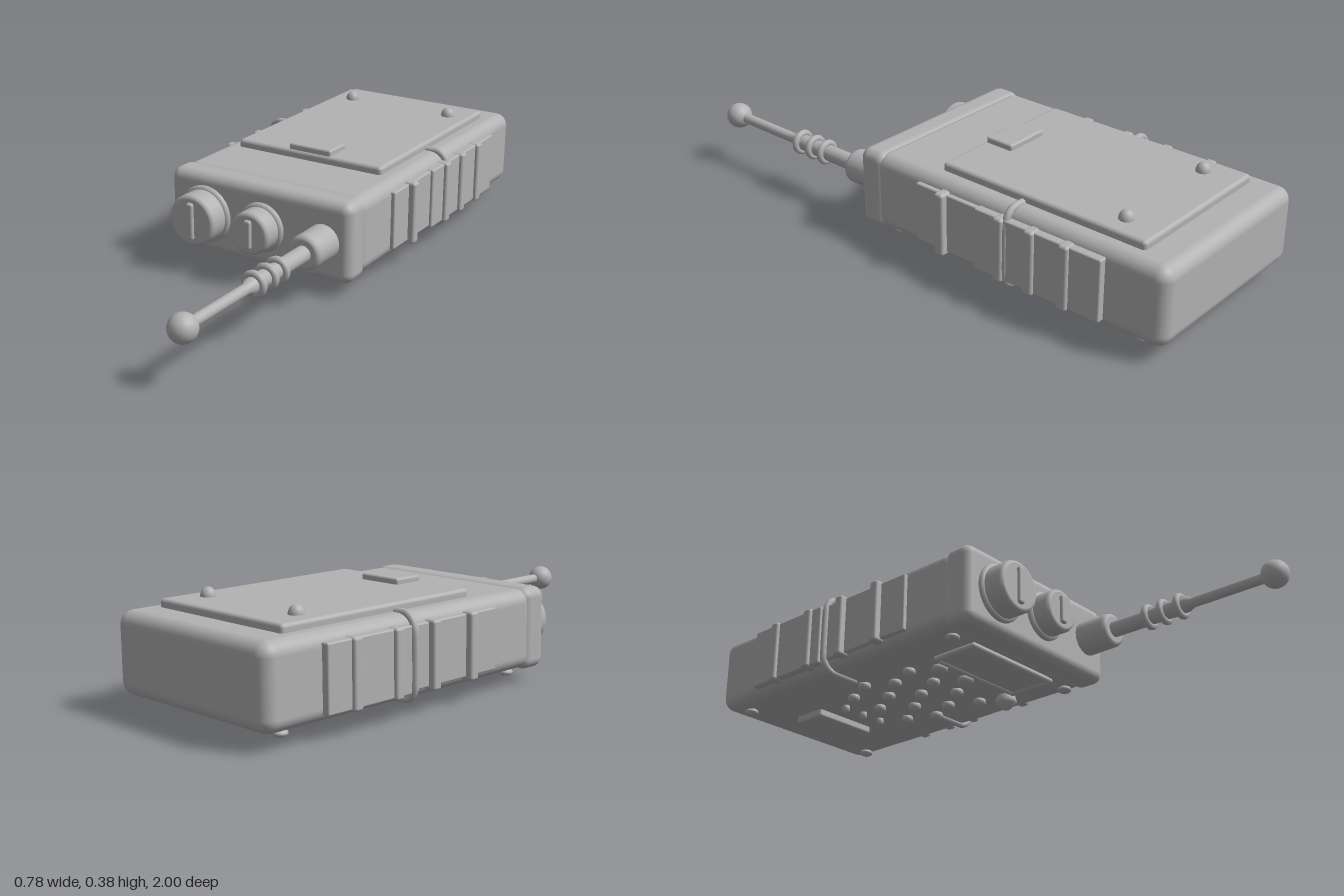
import * as THREE from 'three';
import { RoundedBoxGeometry } from 'three/addons/geometries/RoundedBoxGeometry.js';

export function createModel() {
  const root = new THREE.Group();
  root.name = 'handheldRadio';
  const grey = new THREE.MeshStandardMaterial({ color: 0xb2b2b2 });
  grey.name = 'plainGrey';

  const add = (name, geometry, x = 0, y = 0, z = 0) => {
    const mesh = new THREE.Mesh(geometry, grey);
    mesh.name = name;
    mesh.position.set(x, y, z);
    root.add(mesh);
    return mesh;
  };
  // rounded block given by its extents
  const block = (name, x0, x1, y0, y1, z0, z1, r) =>
    add(name, new RoundedBoxGeometry(x1 - x0, y1 - y0, z1 - z0, 4, r),
      (x0 + x1) / 2, (y0 + y1) / 2, (z0 + z1) / 2);
  // turned part along +z from [radius, z] pairs; each pair is doubled for a crisp edge
  const turned = (name, x, y, z, profile) => {
    const pts = profile.map(([r, h]) => new THREE.Vector2(r, h));
    return add(name, new THREE.LatheGeometry(pts, 40).rotateX(Math.PI / 2), x, y, z);
  };
  const dome = (name, x, y, z, rx, ry, rz = rx) =>
    add(name, new THREE.SphereGeometry(1, 20, 14).scale(rx, ry, rz), x, y, z);

  // Case and front collar
  block('body', -0.36, 0.345, 0.051, 0.318, -1, 0.15, 0.045);
  block('collar', -0.362, 0.347, 0.045, 0.321, 0.105, 0.215, 0.035);

  // Battery cover, latch and two studs on top
  block('cover', -0.295, 0.279, 0.3, 0.345, -0.88, -0.1, 0.013);
  block('latch', -0.089, 0.077, 0.33, 0.365, -0.215, -0.108, 0.008);
  for (const x of [-0.213, 0.198]) {
    dome('coverStud', x, 0.345, -0.755, 0.025, 0.03);
  }

  // Two control knobs with finger bars
  for (const [x, r, end, bar] of [[-0.213, 0.1, 0.302, 0.13], [0.013, 0.085, 0.295, 0.1]]) {
    turned('knob', x, 0.183, 0, [
      [0.001, 0.2], [r, 0.2], [r, 0.222], [r - 0.005, 0.229], [r - 0.011, 0.23], [r - 0.011, 0.231],
      [r - 0.011, end - 0.012], [r - 0.015, end - 0.003], [r - 0.022, end], [r - 0.024, end], [0, end]]);
    block('knobBar', x - 0.013, x + 0.013, 0.183 - bar / 2, 0.183 + bar / 2, end - 0.02, end + 0.012, 0.008);
  }

  // Antenna: socket, thick stem, thin stem, rings and ball tip
  const ax = 0.248, ay = 0.183;
  turned('antennaSocket', ax, ay, 0, [
    [0.001, 0.2], [0.06, 0.2], [0.06, 0.21], [0.059, 0.32], [0.055, 0.331], [0.047, 0.335], [0.044, 0.335], [0, 0.335]]);
  turned('antennaStem', ax, ay, 0, [
    [0.028, 0.32], [0.028, 0.6], [0.026, 0.63], [0.018, 0.65], [0.018, 0.67], [0.018, 0.94]]);
  for (const z of [0.48, 0.54, 0.605]) {
    add('antennaRing', new THREE.TorusGeometry(0.033, 0.012, 12, 32), ax, ay, z);
  }
  dome('antennaTip', ax, ay, 0.953, 0.046, 0.046, 0.046);

  // Side grips: stepped plates with upright ribs
  const ribs = { 1: [-0.17, -0.41, -0.53, -0.66], '-1': [-0.18, -0.35, -0.51, -0.68] };
  for (const s of [1, -1]) {
    const edge = s > 0 ? 0.345 : -0.36;
    const slab = (name, out, y0, y1, z0, z1, r) => {
      const a = edge - s * 0.03, b = edge + s * out;
      block(name, Math.min(a, b), Math.max(a, b), y0, y1, z0, z1, r);
    };
    slab('gripPlate', 0.014, 0.083, 0.287, -0.79, -0.055, 0.006);
    slab('gripPad', 0.024, 0.078, 0.29, -0.79, s > 0 ? -0.31 : -0.45, 0.006);
    for (const z of ribs[s]) slab('gripRib', 0.037, 0.073, 0.293, z - 0.018, z + 0.018, 0.01);

    // Clip wire wrapped from the top, round the side, to the underside
    const path = new THREE.CatmullRomCurve3([
      [-0.065, 0.318], [-0.02, 0.318], [0.004, 0.3], [0.016, 0.26], [0.016, 0.1],
      [0.004, 0.066], [-0.025, 0.05], [-0.13, 0.05],
    ].map(([dx, y]) => new THREE.Vector3(edge + s * dx, y, -0.43)), false, 'catmullrom', 0.3);
    add('sideClip', new THREE.TubeGeometry(path, 48, 0.012, 10, false));
    for (const [dx, y] of [[-0.065, 0.318], [-0.13, 0.05]]) {
      dome('clipEnd', edge + s * dx, y, -0.43, 0.012, 0.012);
    }
  }

  // Underside: corner screws
  for (const x of [-0.295, 0.28]) {
    for (const z of [-0.895, 0.09]) dome('screw', x, 0.037, z, 0.024, 0.013);
  }
  // Speaker studs in staggered rows
  const rows = [
    [-0.617, 0.014, [-0.09, -0.005, 0.08]],
    [-0.525, 0.021, [-0.14, -0.01, 0.13]],
    [-0.42, 0.023, [-0.19, -0.07, 0.06, 0.175]],
    [-0.32, 0.023, [-0.14, -0.01, 0.13]],
    [-0.215, 0.023, [-0.18, -0.06, 0.06, 0.18]],
    [-0.12, 0.028, [-0.13, 0]],
  ];
  for (const [z, r, xs] of rows) {
    for (const x of xs) dome('speakerStud', x, 0.042, z, r, 0.018);
  }
  // Raised name plate
  block('backPlate', -0.132, 0.118, 0.025, 0.07, -0.837, -0.707, 0.009);

  // Hinged flap with a wire rim
  block('flap', -0.205, 0.185, 0.034, 0.06, -0.065, 0.1, 0.006);
  const corners = [[-0.205, -0.065], [0.185, -0.065], [0.185, 0.1], [-0.205, 0.1]];
  corners.forEach(([x, z], i) => {
    const [x2, z2] = corners[(i + 1) % 4];
    const line = new THREE.LineCurve3(new THREE.Vector3(x, 0.037, z), new THREE.Vector3(x2, 0.037, z2));
    add('flapRim', new THREE.TubeGeometry(line, 1, 0.01, 10, false));
    dome('flapCorner', x, 0.037, z, 0.01, 0.01);
  });

  // Pointed push button under the case
  const button = [[0, 0], [0.012, 0.002], [0.024, 0.014], [0.034, 0.022], [0.038, 0.032], [0.034, 0.045], [0.03, 0.06]];
  add('pushButton', new THREE.LatheGeometry(button.map(([r, h]) => new THREE.Vector2(r, h)), 28), 0.22, 0, -0.125);

  return root;
}
